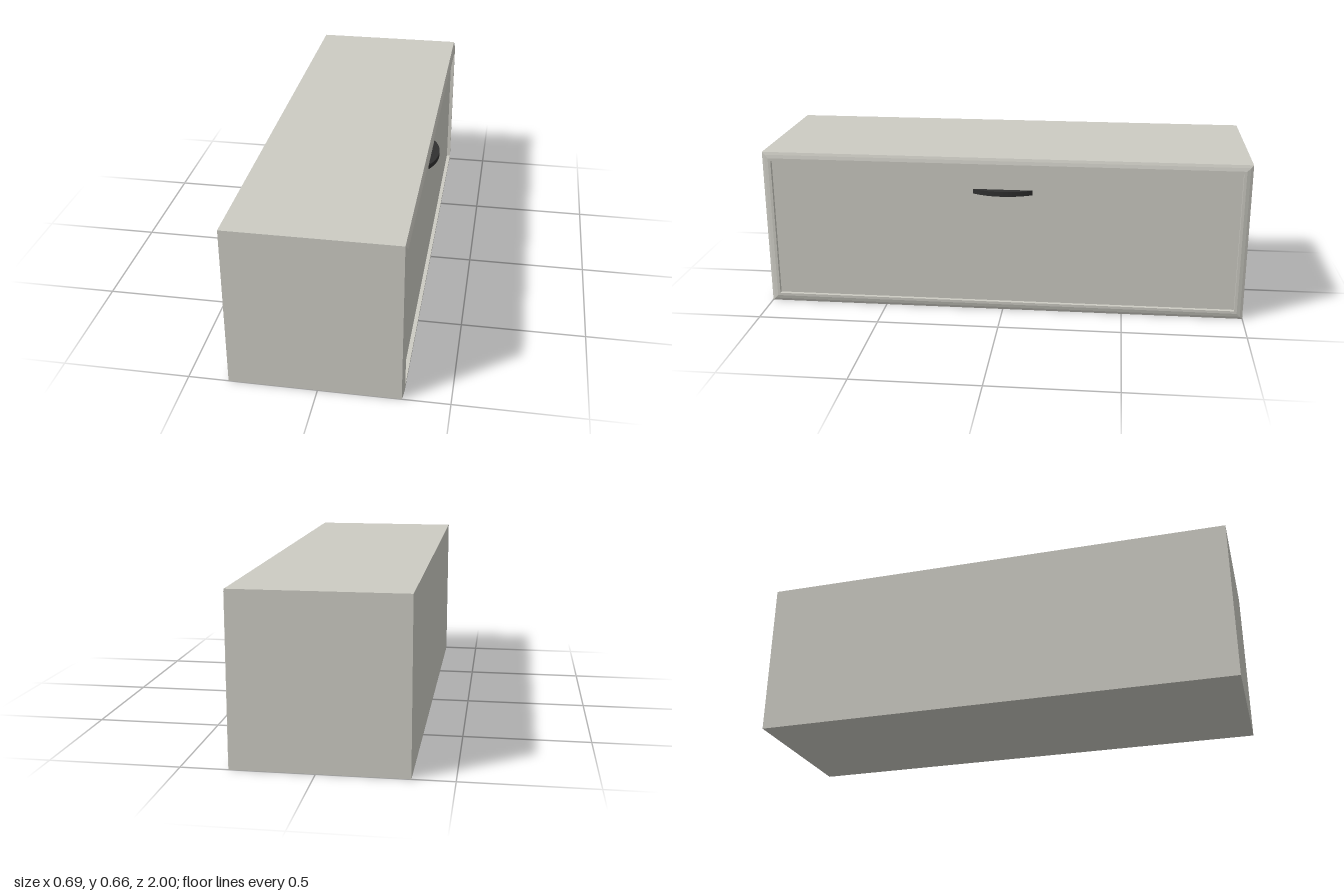
import * as THREE from 'three';

const H = 0.663, HALF = 1, BACK = -0.343;

// Sweep a profile of [x, inset] steps around the rectangular front opening
function rectangularRing(profile) {
  const rings = profile.map(([x, s]) => [
    [x, s, -HALF + s], [x, H - s, -HALF + s],
    [x, H - s, HALF - s], [x, s, HALF - s],
  ]);
  const pos = [];
  for (let i = 0; i < rings.length - 1; i++) {
    const a = rings[i], b = rings[i + 1];
    for (let k = 0; k < 4; k++) {
      const n = (k + 1) % 4;
      pos.push(...a[k], ...a[n], ...b[n], ...a[k], ...b[n], ...b[k]);
    }
  }
  const geo = new THREE.BufferGeometry();
  geo.setAttribute('position', new THREE.Float32BufferAttribute(pos, 3));
  geo.computeVertexNormals();
  return geo;
}

export function createModel() {
  const group = new THREE.Group();
  const paint = new THREE.MeshStandardMaterial({ color: 0xcccbc3 });
  paint.name = 'warm grey paint';
  const dark = new THREE.MeshStandardMaterial({ color: 0x303030 });
  dark.name = 'dark handle';

  const add = (name, geo, mat, x = 0, y = 0, z = 0) => {
    const mesh = new THREE.Mesh(geo, mat);
    mesh.name = name;
    mesh.position.set(x, y, z);
    group.add(mesh);
    return mesh;
  };

  // Cabinet body, behind the front frame
  const bodyEnd = 0.3;
  add('cabinetBody', new THREE.BoxGeometry(bodyEnd - BACK, H, 2 * HALF), paint,
    (bodyEnd + BACK) / 2, H / 2);

  // Bevelled frame around the recessed front
  const inset = 0.036, panelX = 0.31;
  add('frontFrame', rectangularRing([
    [bodyEnd, 0], [0.318, 0], [0.3225, 0.011], [0.326, 0.025],
    [0.326, inset], [bodyEnd, inset],
  ]), paint);

  // Recessed drawer front
  add('drawerFront',
    new THREE.BoxGeometry(panelX - bodyEnd, H - 2 * inset, 2 * (HALF - inset)),
    paint, (panelX + bodyEnd) / 2, H / 2);

  // Bow-shaped handle: a shallow circular segment
  const half = 0.122, depth = 0.033, thick = 0.02;
  const radius = (half * half + depth * depth) / (2 * depth);
  const sweep = Math.asin(half / radius);
  const bow = new THREE.Shape();
  bow.absarc(depth - radius, 0, radius, -sweep, sweep, false);
  bow.closePath();
  const handleGeo = new THREE.ExtrudeGeometry(bow, {
    depth: thick, bevelEnabled: false, curveSegments: 16,
  });
  handleGeo.rotateX(-Math.PI / 2);
  add('handle', handleGeo, dark, panelX, 0.508, 0);

  return group;
}
